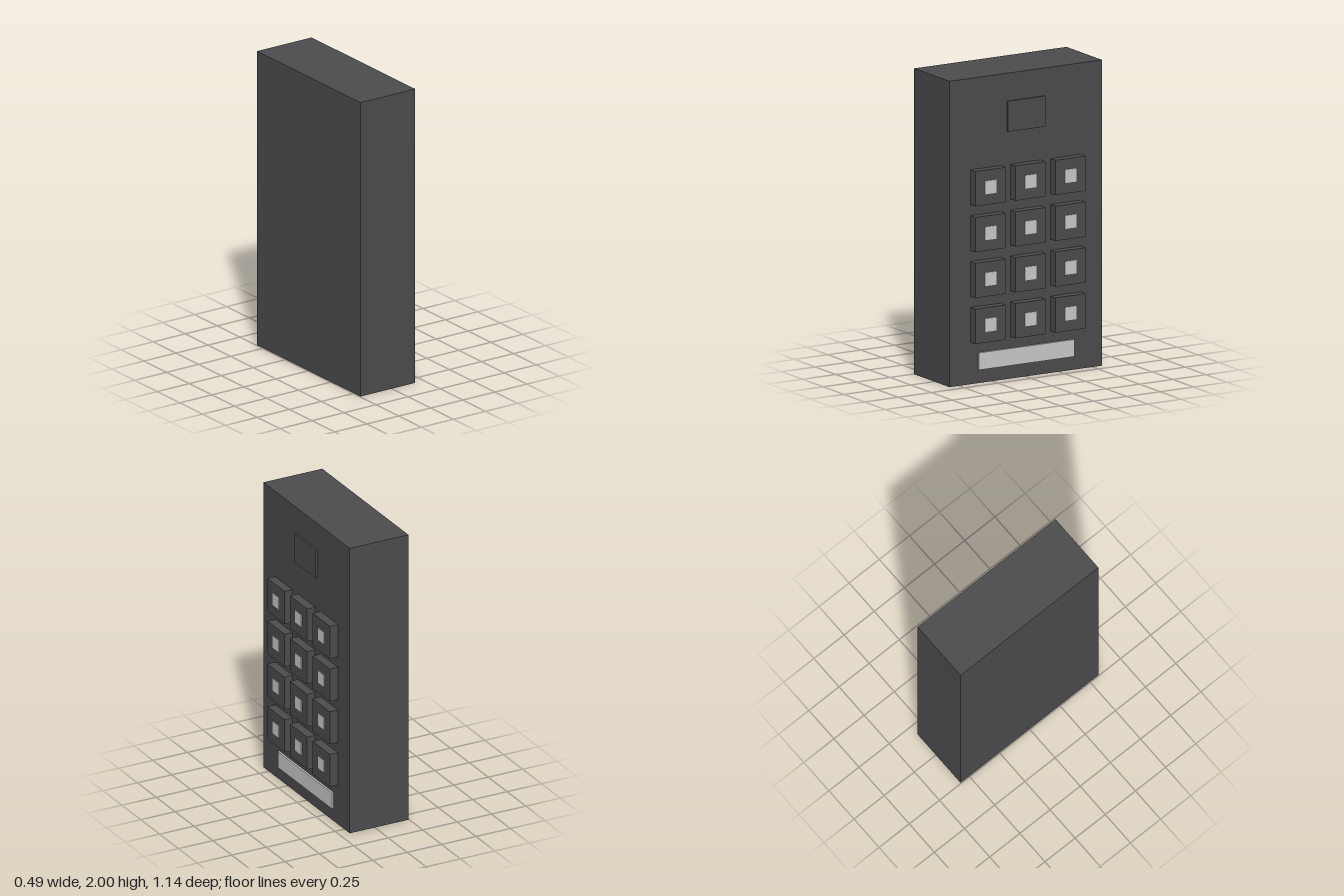
import * as THREE from 'three';

export function createModel() {
  const model = new THREE.Group();
  model.name = 'keypad';

  const charcoal = new THREE.MeshStandardMaterial({ color: 0x4c4b4f });
  charcoal.name = 'charcoal';
  const paleGrey = new THREE.MeshStandardMaterial({ color: 0xcacaca });
  paleGrey.name = 'pale grey';

  const face = 0.182; // x of the panel that carries the keys

  // Box spanning x0..x1, centred on y and z
  function block(name, material, x0, x1, y, z, height, width, parent = model) {
    const mesh = new THREE.Mesh(new THREE.BoxGeometry(x1 - x0, height, width), material);
    mesh.position.set((x0 + x1) / 2, y, z);
    mesh.name = name;
    parent.add(mesh);
    return mesh;
  }

  // Housing
  block('housing', charcoal, -0.245, face, 1, 0, 2, 1.142);

  // Raised screen and bottom label strip
  block('screen', charcoal, face, 0.195, 1.719, 0, 0.2, 0.284);
  block('labelStrip', paleGrey, face, 0.195, 0.144, 0, 0.112, 0.716);

  // Four rows of three keys, each with a pale square on top
  const keys = new THREE.Group();
  keys.name = 'keys';
  model.add(keys);
  for (let row = 0; row < 4; row++) {
    for (let column = -1; column <= 1; column++) {
      const y = 1.288 - row * 0.3;
      const z = column * 0.3;
      const key = new THREE.Group();
      key.name = 'key';
      keys.add(key);
      block('keyCap', charcoal, face, 0.24, y, z, 0.228, 0.228, key);
      block('keyMark', paleGrey, 0.24, 0.245, y, z, 0.087, 0.087, key);
    }
  }

  return model;
}
